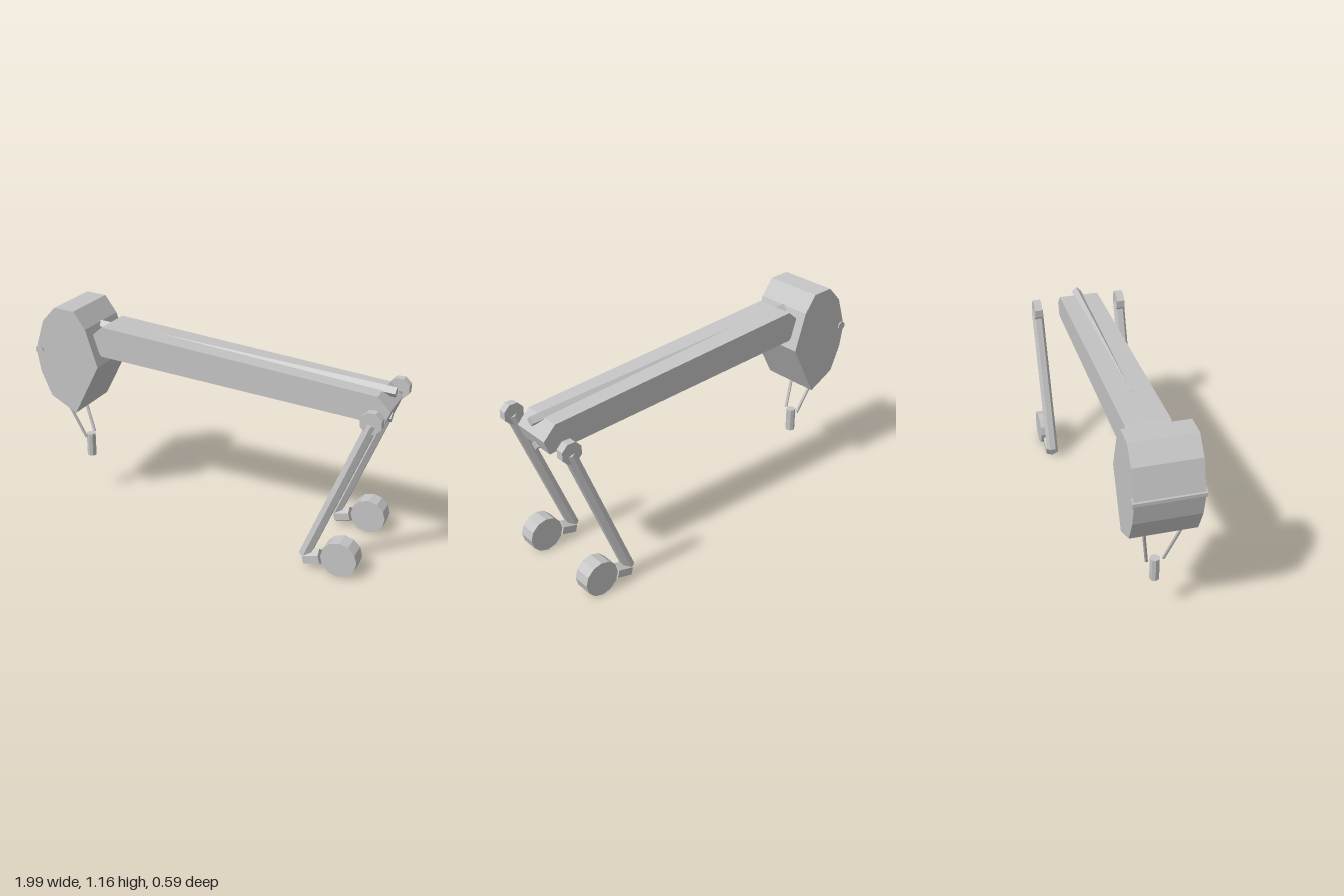
import * as THREE from 'three';

const grey = new THREE.MeshStandardMaterial({ color: 0xc4c4c4, flatShading: true });
grey.name = 'plain grey';

function add(parent, name, geometry) {
  const mesh = new THREE.Mesh(geometry, grey);
  mesh.name = name;
  parent.add(mesh);
  return mesh;
}

// Side profile in x/y, extruded evenly about z = 0
function slab(parent, name, points, width) {
  const shape = new THREE.Shape(points.map(([x, y]) => new THREE.Vector2(x, y)));
  const geometry = new THREE.ExtrudeGeometry(shape, { depth: width, bevelEnabled: false });
  return add(parent, name, geometry.translate(0, 0, -width / 2));
}

// Faceted bar between two points; turn is the rotation about its own axis
function bar(parent, name, from, to, radius, sides, turn = 0) {
  const a = new THREE.Vector3(...from), b = new THREE.Vector3(...to);
  const geometry = new THREE.CylinderGeometry(radius, radius, a.distanceTo(b), sides);
  geometry.rotateY(turn);
  const mesh = add(parent, name, geometry);
  mesh.position.copy(a).add(b).multiplyScalar(0.5);
  mesh.quaternion.setFromUnitVectors(new THREE.Vector3(0, 1, 0), b.sub(a).normalize());
  return mesh;
}

// Short drum lying along z
function drum(parent, name, x, y, z, radius, width, sides, turn = 0) {
  const geometry = new THREE.CylinderGeometry(radius, radius, width, sides);
  geometry.rotateY(turn).rotateX(Math.PI / 2).translate(x, y, z);
  return add(parent, name, geometry);
}

export function createModel() {
  const model = new THREE.Group();
  model.name = 'model';

  // Head block and its cross pin
  slab(model, 'head', [
    [-0.765, 0.565], [-0.613, 0.855], [-0.68, 1.06], [-0.748, 1.152], [-0.865, 1.158],
    [-0.943, 1.075], [-0.998, 0.905], [-0.975, 0.78], [-0.915, 0.645],
  ], 0.336);
  drum(model, 'headPin', -0.976, 0.907, 0, 0.024, 0.35, 8, Math.PI / 8);

  // Long boom with pointed ends
  slab(model, 'boom', [
    [-0.62, 0.9], [0.96, 0.79], [0.988, 0.865], [0.92, 0.935], [-0.61, 1.067], [-0.7, 0.99],
  ], 0.224);

  // Diamond-section rails let into the top and underside of the boom
  bar(model, 'topRail', [-0.72, 1.042, 0], [0.984, 0.927, 0], 0.027, 4);
  bar(model, 'bottomRail', [-0.66, 0.915, 0], [0.972, 0.793, 0], 0.027, 4);

  // Hanging nozzle on two thin stays
  for (const side of [-1, 1]) {
    bar(model, 'stay', [-0.9, 0.645, side * 0.092], [-0.785, 0.362, side * 0.044], 0.009, 6);
  }
  bar(model, 'nozzle', [-0.782, 0.235, 0], [-0.782, 0.37, 0], 0.026, 8);

  // Mirrored rear legs with hub, foot block and wheel
  for (const side of [-1, 1]) {
    const leg = new THREE.Group();
    leg.name = side > 0 ? 'frontLeg' : 'backLeg';
    const z = side * 0.247;
    drum(leg, 'hub', 0.938, 0.858, z, 0.058, 0.044, 8, Math.PI / 8);
    bar(leg, 'strut', [0.942, 0.85, z], [0.63, 0.06, z], 0.033, 6);
    bar(leg, 'footBlock', [0.632, 0.044, z], [0.718, 0.066, z], 0.042, 6, Math.PI / 6);
    drum(leg, 'wheel', 0.825, 0.097, z, 0.096, 0.094, 12);
    model.add(leg);
  }

  return model;
}
